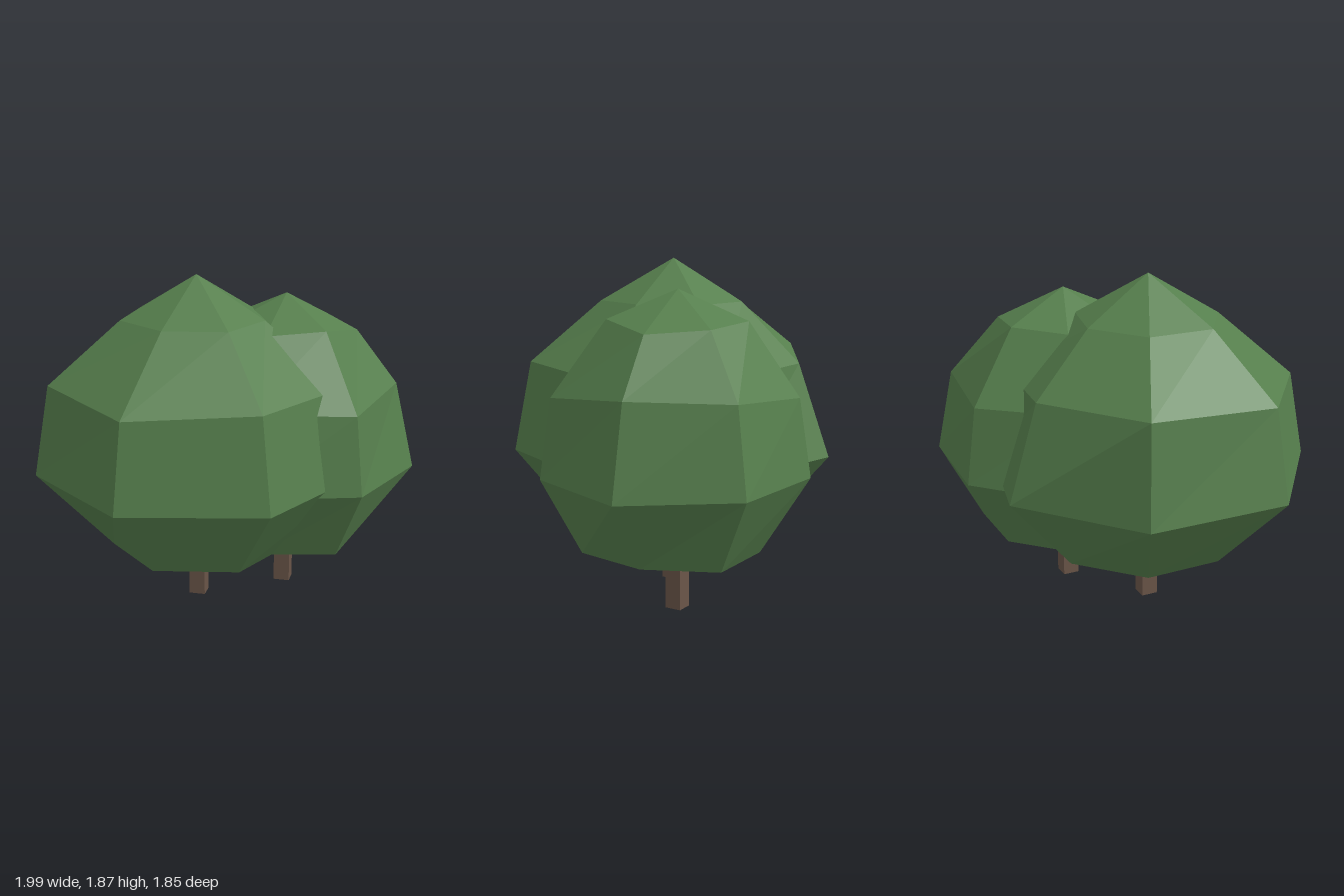
import * as THREE from 'three';

const SIDES = 7;
const leaf = new THREE.MeshStandardMaterial({ color: 0x567f4d, flatShading: true, side: THREE.DoubleSide });
leaf.name = 'leaf green';
const bark = new THREE.MeshStandardMaterial({ color: 0x6a5548, flatShading: true });
bark.name = 'bark brown';

// Hollow faceted crown, open below: each ring is { y, r }, one value per corner.
function crownGeometry(rings, apexY, turn) {
  const at = (list, i) => (Array.isArray(list) ? list[i] : list);
  const positions = [], index = [];
  for (const { y, r } of rings) {
    for (let i = 0; i < SIDES; i++) {
      const a = turn + (i / SIDES) * Math.PI * 2;
      positions.push(Math.cos(a) * at(r, i), at(y, i), Math.sin(a) * at(r, i));
    }
  }
  positions.push(0, apexY, 0);
  const apex = rings.length * SIDES;
  for (let k = 0; k < rings.length; k++) {
    for (let i = 0; i < SIDES; i++) {
      const j = (i + 1) % SIDES;
      const a = k * SIDES + i, b = k * SIDES + j;
      if (k === rings.length - 1) index.push(a, apex, b);
      else index.push(a, a + SIDES, b, b, a + SIDES, b + SIDES);
    }
  }
  const indexed = new THREE.BufferGeometry();
  indexed.setAttribute('position', new THREE.Float32BufferAttribute(positions, 3));
  indexed.setIndex(index);
  const geometry = indexed.toNonIndexed();
  geometry.computeVertexNormals();
  return geometry;
}

function makeTree(name, x, z, rings, apexY, turn) {
  const tree = new THREE.Group();
  tree.name = name;
  tree.position.set(x, 0, z);

  // Square trunk ending just inside the crown
  const trunk = new THREE.Mesh(new THREE.BoxGeometry(0.092, 0.44, 0.092), bark);
  trunk.name = 'trunk';
  trunk.position.y = 0.22;

  const crown = new THREE.Mesh(crownGeometry(rings, apexY, turn), leaf);
  crown.name = 'crown';
  tree.add(trunk, crown);
  return tree;
}

export function createModel() {
  const model = new THREE.Group();
  model.name = 'treePair';

  // Taller, wider tree at the front
  model.add(makeTree('largeTree', -0.182, 0.037, [
    { y: 0.34, r: [0.53, 0.545, 0.53, 0.49, 0.5, 0.53, 0.53] },
    { y: 0.785, r: 0.908 },
    { y: [1.28, 1.29, 1.26, 1.29, 1.33, 1.3, 1.28], r: [0.81, 0.81, 0.82, 0.82, 0.845, 0.73, 0.8] },
    { y: 1.63, r: [0.38, 0.41, 0.39, 0.42, 0.42, 0.4, 0.4] },
  ], 1.865, 0));

  // Smaller tree behind, its crown growing into the first
  model.add(makeTree('smallTree', 0.258, -0.262, [
    { y: 0.34, r: [0.445, 0.52, 0.47, 0.46, 0.46, 0.45, 0.5] },
    { y: [0.74, 0.75, 0.755, 0.755, 0.755, 0.76, 0.76], r: [0.737, 0.737, 0.73, 0.73, 0.73, 0.71, 0.75] },
    { y: [1.23, 1.18, 1.2, 1.2, 1.2, 1.18, 1.22], r: [0.625, 0.675, 0.65, 0.65, 0.65, 0.645, 0.655] },
    { y: [1.53, 1.58, 1.56, 1.56, 1.56, 1.57, 1.55], r: [0.395, 0.38, 0.38, 0.38, 0.38, 0.375, 0.37] },
  ], 1.73, -0.11));

  return model;
}
